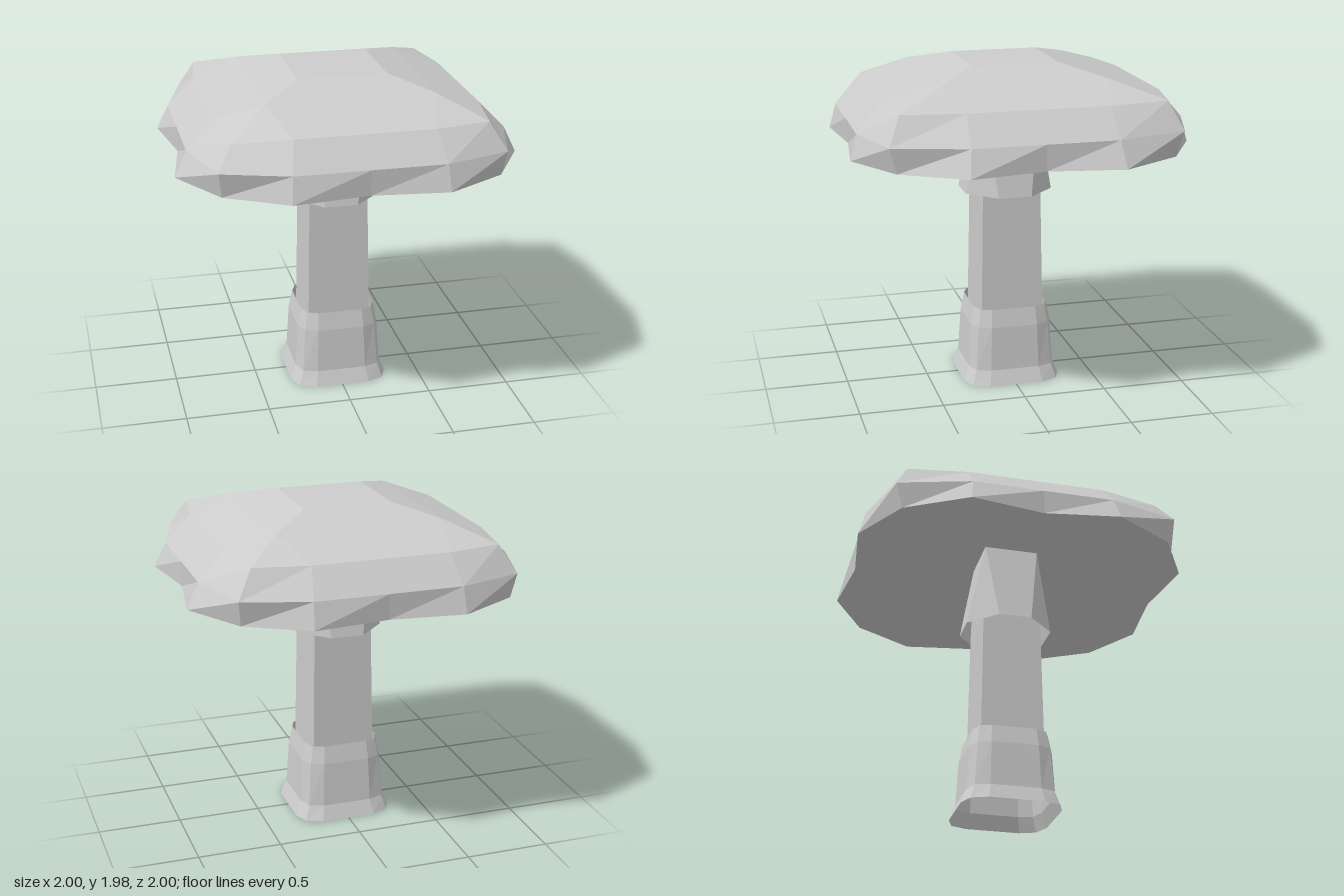
import * as THREE from 'three';

// Skins a stack of rings with flat faces; each ring is a list of Vector3.
function loft(rings) {
  const pos = [];
  const tri = (a, b, c) => {
    const area = b.clone().sub(a).cross(c.clone().sub(a)).length();
    if (area > 1e-7) for (const p of [a, b, c]) pos.push(p.x, p.y, p.z);
  };
  for (let r = 0; r < rings.length - 1; r++) {
    const lo = rings[r], hi = rings[r + 1], n = lo.length;
    for (let i = 0; i < n; i++) {
      const j = (i + 1) % n;
      tri(lo[i], hi[i], lo[j]);
      tri(lo[j], hi[i], hi[j]);
    }
  }
  const geo = new THREE.BufferGeometry();
  geo.setAttribute('position', new THREE.Float32BufferAttribute(pos, 3));
  geo.computeVertexNormals();
  return geo;
}

// Mirrors a quarter outline, running from the +x axis to the +z axis, into a full ring.
function ring(y, quarter) {
  const back = [...quarter].reverse();
  const pts = [
    ...quarter,
    ...back.slice(1).map(([x, z]) => [-x, z]),
    ...quarter.slice(1).map(([x, z]) => [-x, -z]),
    ...back.slice(1, -1).map(([x, z]) => [x, -z]),
  ];
  return pts.map(([x, z]) => new THREE.Vector3(x, y, z));
}

// Square ring with corners of half-width c, side faces at s, reaching out to a.
const cornered = (y, s, a, c) => ring(y, [[s, 0], [s, a], [c, c], [a, s], [0, s]]);
const square = (y, h) => cornered(y, h, h, h);

export function createModel() {
  const group = new THREE.Group();
  const grey = new THREE.MeshStandardMaterial({ color: 0xcccccc, flatShading: true, side: THREE.DoubleSide });
  grey.name = 'pale grey';
  const add = (name, rings) => {
    const mesh = new THREE.Mesh(loft(rings), grey);
    mesh.name = name;
    group.add(mesh);
  };

  // Cap: hollow underside, notched rim, two bevels and a faceted crown
  const shoulder = ring(1.82, [[0.775, 0], [0.775, 0.41], [0.72, 0.77], [0.4, 0.83], [0, 0.83]]);
  shoulder[6].set(-0.73, 1.79, 0.75); // one sagging corner
  add('cap', [
    square(1.69, 0),
    square(1.69, 0.16),
    ring(1.51, [[0.93, 0], [1, 0.44], [0.79, 0.8], [0.44, 1], [0, 0.95]]),
    ring(1.66, [[0.93, 0], [0.93, 0.42], [0.81, 0.84], [0.43, 0.96], [0, 0.96]]),
    shoulder,
    square(1.915, 0.495),
    square(1.98, 0.265),
    square(1.98, 0),
  ]);

  // Skirt under the cap: square at the top, widening to cut corners
  add('skirt', [
    ring(1.18, [[0.265, 0], [0.265, 0.1], [0.1825, 0.1825], [0.1, 0.265], [0, 0.265]]),
    square(1.69, 0.165),
  ]);

  // Square tapering stem
  add('stem', [square(0.36, 0.192), square(1.18, 0.178), square(1.69, 0.163)]);

  // Flared sleeve at the foot, open below
  add('base', [
    cornered(0, 0.3, 0.165, 0.262),
    cornered(0.09, 0.266, 0.15, 0.236),
    cornered(0.36, 0.25, 0.142, 0.217),
    cornered(0.47, 0.228, 0.135, 0.2),
  ]);

  return group;
}
